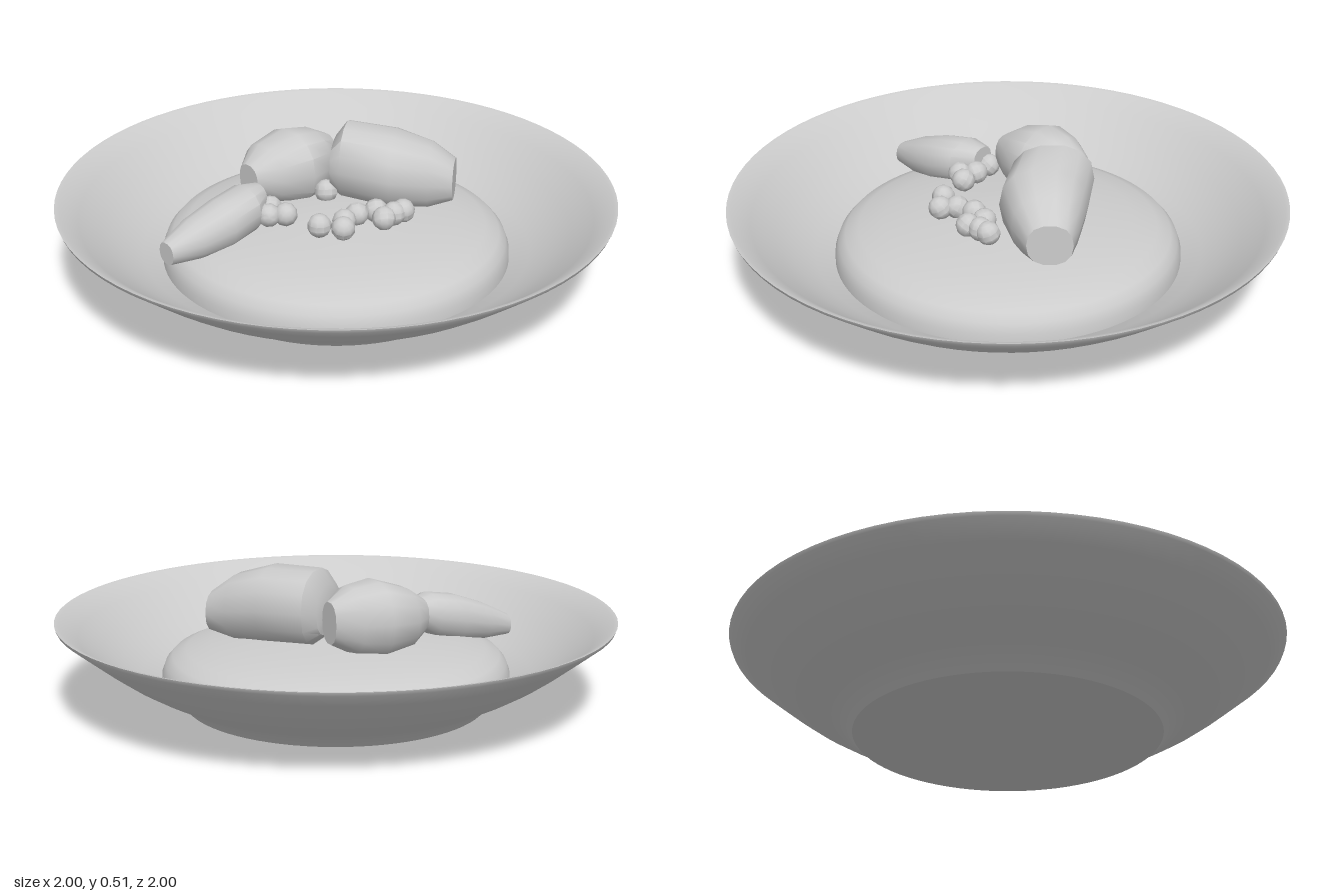
import * as THREE from 'three';
import { toCreasedNormals } from 'three/addons/utils/BufferGeometryUtils.js';

const gray = new THREE.MeshStandardMaterial({ color: 0xcccccc });
gray.name = 'plain gray';

function part(name, geometry, crease = 0.6) {
  const mesh = new THREE.Mesh(toCreasedNormals(geometry, crease), gray);
  mesh.name = name;
  return mesh;
}

function turned(name, profile, crease) {
  const points = profile.map(([r, y]) => new THREE.Vector2(r, y));
  return part(name, new THREE.LatheGeometry(points, 80), crease);
}

// Chunk lofted through stations [x, y, z, halfWidth, halfHeight], with flat ends
function chunk(name, stations, sides = 14) {
  const first = stations[0], last = stations[stations.length - 1];
  const dir = new THREE.Vector2(last[0] - first[0], last[2] - first[2]).normalize();
  const soft = (v) => Math.sign(v) * Math.abs(v) ** 0.85;
  const positions = [], index = [];
  for (const [x, y, z, w, h] of stations) {
    for (let j = 0; j < sides; j++) {
      const a = (j / sides) * Math.PI * 2;
      const u = soft(Math.cos(a)) * w, v = soft(Math.sin(a)) * h;
      positions.push(x - dir.y * u, y + v, z + dir.x * u);
    }
  }
  for (let i = 0; i < stations.length - 1; i++) {
    for (let j = 0; j < sides; j++) {
      const a = i * sides + j, b = i * sides + (j + 1) % sides;
      index.push(a, a + sides, b, b, a + sides, b + sides);
    }
  }
  const end = (stations.length - 1) * sides;
  for (let j = 1; j < sides - 1; j++) {
    index.push(0, j, j + 1, end, end + j + 1, end + j);
  }
  const geometry = new THREE.BufferGeometry();
  geometry.setAttribute('position', new THREE.Float32BufferAttribute(positions, 3));
  geometry.setIndex(index);
  return part(name, geometry, 0.75);
}

export function createModel() {
  const model = new THREE.Group();
  model.name = 'bowlOfFood';

  // Thin flared bowl: outside up to the rim, then back down the inside
  model.add(turned('bowl', [
    [0, 0], [0.55, 0], [0.585, 0.035], [0.64, 0.068], [0.71, 0.105], [0.78, 0.147],
    [0.85, 0.197], [0.93, 0.26], [0.995, 0.312], [1, 0.325],
    [0.985, 0.322], [0.92, 0.27], [0.84, 0.208], [0.77, 0.158], [0.7, 0.118],
    [0.63, 0.082], [0.57, 0.045], [0, 0.03],
  ]));

  // Domed serving filling the bowl
  model.add(turned('filling', [
    [0.63, 0.07], [0.628, 0.115], [0.615, 0.15], [0.59, 0.178], [0.54, 0.2],
    [0.45, 0.222], [0.32, 0.242], [0.15, 0.255], [0, 0.27],
  ], 0.9));

  // Three large chunks
  model.add(chunk('largeChunk', [
    [0.01, 0.37, -0.15, 0.115, 0.09], [0.05, 0.38, -0.15, 0.15, 0.132],
    [0.22, 0.37, -0.07, 0.155, 0.137], [0.35, 0.35, -0.04, 0.118, 0.118],
    [0.435, 0.33, -0.03, 0.08, 0.075],
  ]));
  model.add(chunk('middleChunk', [
    [-0.31, 0.34, -0.07, 0.055, 0.06], [-0.25, 0.345, -0.12, 0.115, 0.105],
    [-0.15, 0.35, -0.17, 0.145, 0.135], [-0.07, 0.35, -0.22, 0.118, 0.12],
    [-0.005, 0.35, -0.275, 0.052, 0.075],
  ]));
  model.add(chunk('longChunk', [
    [-0.28, 0.32, 0.025, 0.05, 0.05], [-0.33, 0.305, 0.08, 0.09, 0.08],
    [-0.42, 0.28, 0.15, 0.09, 0.085], [-0.52, 0.255, 0.21, 0.075, 0.068],
    [-0.61, 0.23, 0.265, 0.04, 0.04],
  ]));

  // Small beads scattered between the chunks
  const beads = [
    [-0.08, 0.22], [0, 0.25], [0.01, 0.19], [0.06, 0.14], [0.13, 0.12], [0.15, 0.185],
    [0.19, 0.15], [0.225, 0.13], [-0.19, 0.12], [-0.25, 0.12], [-0.24, 0.06],
    [-0.29, 0], [-0.03, -0.06],
  ];
  const beadShape = new THREE.SphereGeometry(0.043, 10, 7);
  beads.forEach(([x, z], i) => {
    const bead = part('bead', beadShape, 0.7);
    bead.position.set(x, 0.29, z);
    bead.rotation.set(0.5 * i, 0.9 * i, 0);
    model.add(bead);
  });

  return model;
}
